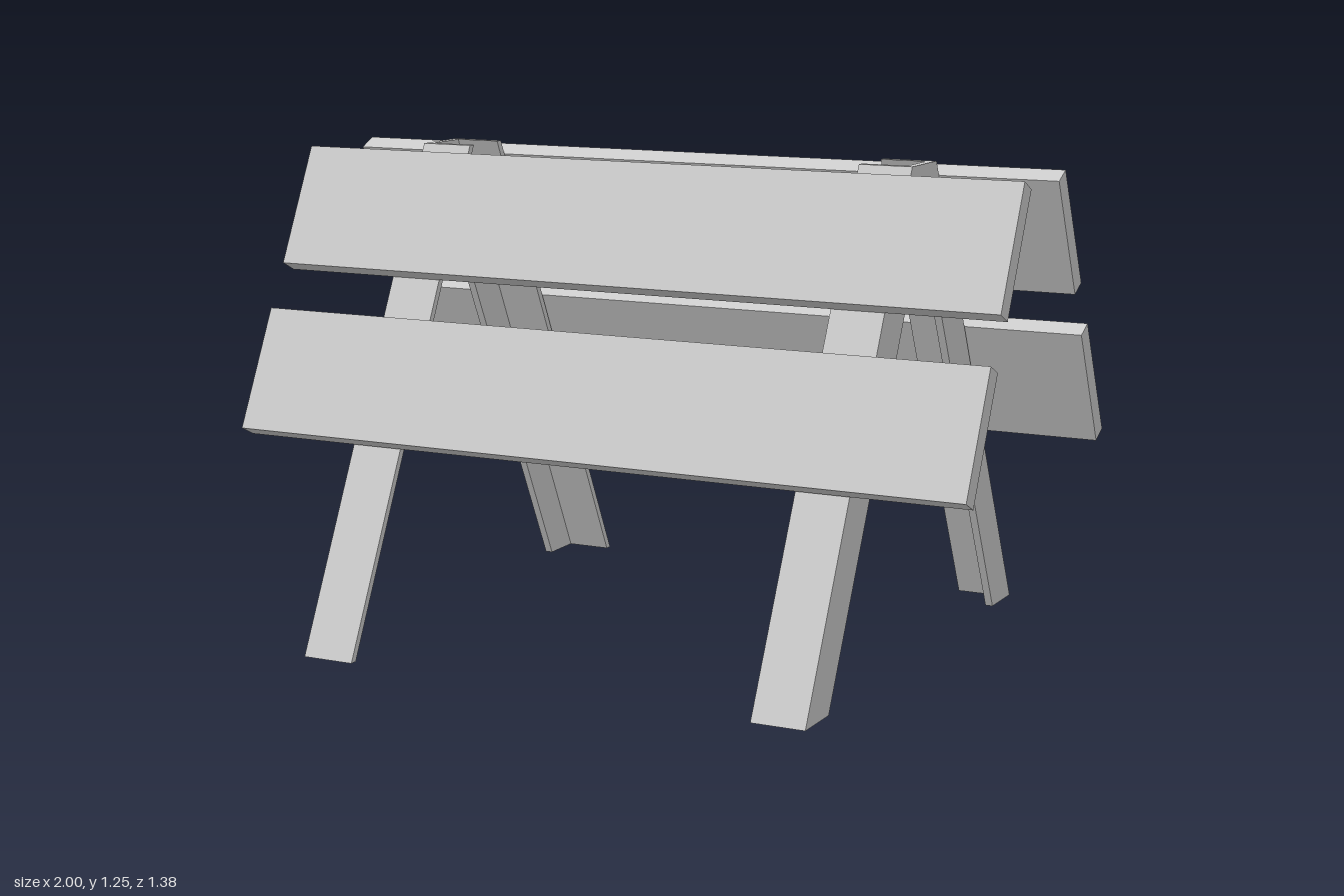
import * as THREE from 'three';

const material = new THREE.MeshStandardMaterial({ color: 0xcccccc, flatShading: true });

// Leg profile constants in the (z, y) plane
const TOP = 1.245, FOOT = 0.69, HEAD = 0.08, FLANGE = 0.02;
const TILT = Math.atan((FOOT - HEAD) / TOP);

// Extrudes a (z, y) outline along x, from x0 to x1
function sidePlate(name, points, x0, x1) {
  const shape = new THREE.Shape(points.map(([z, y]) => new THREE.Vector2(z, y)));
  const geometry = new THREE.ExtrudeGeometry(shape, { depth: x1 - x0, bevelEnabled: false });
  geometry.rotateY(-Math.PI / 2).translate(x1, 0, 0);
  const mesh = new THREE.Mesh(geometry, material);
  mesh.name = name;
  return mesh;
}

// A-shaped frame of angle section: outer web plus a flange on each slope
function trestle(side) {
  const group = new THREE.Group();
  group.name = side > 0 ? 'leftTrestle' : 'rightTrestle';
  const span = (a, b) => (side > 0 ? [a, b] : [-b, -a]);

  group.add(sidePlate('legWeb', [
    [FOOT, 0], [HEAD, TOP], [-HEAD, TOP], [-FOOT, 0],
    [-0.555, 0], [0, 1.12], [0.555, 0],
  ], ...span(0.67, 0.69)));

  for (const s of [1, -1]) {
    group.add(sidePlate(s > 0 ? 'frontLegFlange' : 'backLegFlange', [
      [s * FOOT, 0], [s * HEAD, TOP],
      [s * (HEAD - FLANGE), TOP], [s * (FOOT - FLANGE), 0],
    ], ...span(0.55, 0.67)));
  }
  return group;
}

export function createModel() {
  const model = new THREE.Group();
  model.name = 'barricade';
  model.add(trestle(1), trestle(-1));

  // Two boards on each sloping face
  const boardGeometry = new THREE.BoxGeometry(2, 0.33, 0.053);
  const rows = [['upper', 1.071, 0.197], ['lower', 0.663, 0.402]];
  for (const s of [1, -1]) {
    for (const [row, y, z] of rows) {
      const board = new THREE.Mesh(boardGeometry, material);
      board.name = row + (s > 0 ? 'FrontBoard' : 'BackBoard');
      board.position.set(0, y, s * z);
      board.rotation.x = -s * TILT;
      model.add(board);
    }
  }
  return model;
}
